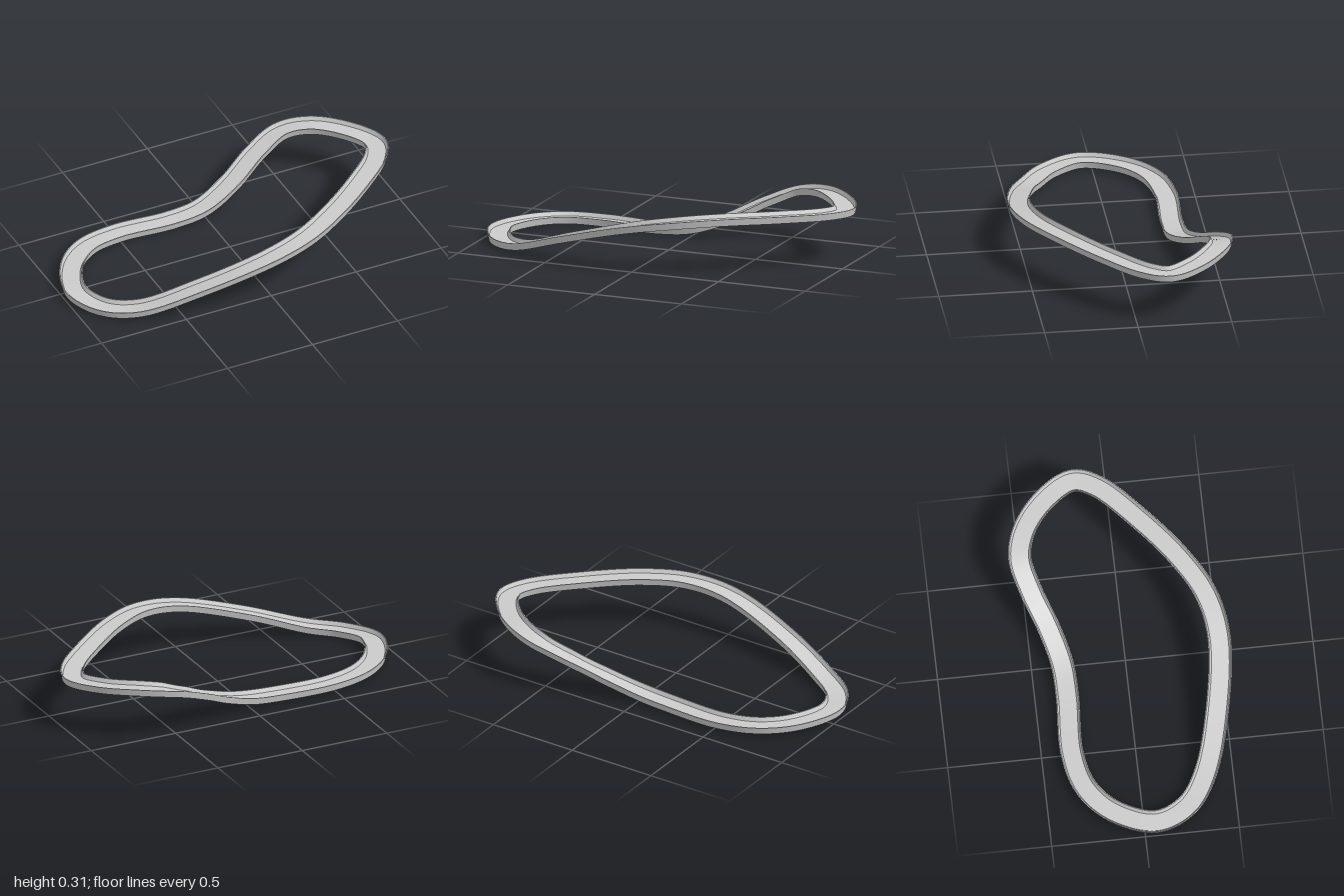
import * as THREE from 'three';

// Centre line of the loop at rim height: x, y, z
const PATH = [
  [-0.937, 0.056, 0.065], [-0.86, 0.046, 0.24], [-0.7, 0.06, 0.35], [-0.4, 0.155, 0.445],
  [-0.02, 0.26, 0.498], [0.22, 0.298, 0.455], [0.44, 0.31, 0.335], [0.7, 0.303, 0.13],
  [0.89, 0.295, -0.06], [0.935, 0.292, -0.18], [0.845, 0.298, -0.335], [0.69, 0.302, -0.46],
  [0.54, 0.28, -0.504], [0.375, 0.215, -0.465], [0.19, 0.125, -0.39], [0, 0.06, -0.337],
  [-0.18, 0.042, -0.328], [-0.505, 0.046, -0.338], [-0.71, 0.054, -0.285], [-0.855, 0.057, -0.155],
];

// Channel section, counter-clockwise: outward offset, height below rim
const SECTION = [
  [-0.054, -0.039], [0.054, -0.039], [0.0625, 0], [0.057, 0],
  [0.047, -0.022], [-0.047, -0.022], [-0.057, 0], [-0.0625, 0],
];

// Sweeps one edge of the section around the loop, keeping the section upright
function sweepEdge(frames, from, to) {
  const pos = [], index = [], n = frames.length;
  frames.forEach(({ p, out }, i) => {
    for (const [o, h] of [from, to]) pos.push(p.x + out.x * o, p.y + h, p.z + out.z * o);
    const a = 2 * i, b = 2 * ((i + 1) % n);
    index.push(a, b, a + 1, b, b + 1, a + 1);
  });
  const geo = new THREE.BufferGeometry();
  geo.setAttribute('position', new THREE.Float32BufferAttribute(pos, 3));
  geo.setIndex(index);
  geo.computeVertexNormals();
  return geo;
}

export function createModel() {
  const group = new THREE.Group();
  group.name = 'trackLoop';
  const material = new THREE.MeshStandardMaterial({ color: 0xcccccc });

  const curve = new THREE.CatmullRomCurve3(PATH.map((p) => new THREE.Vector3(...p)), true);
  const steps = 200;
  const frames = Array.from({ length: steps }, (_, i) => {
    const t = curve.getTangentAt(i / steps);
    return { p: curve.getPointAt(i / steps), out: new THREE.Vector3(-t.z, 0, t.x).normalize() };
  });

  // One smooth strip per section edge, so the corners stay sharp
  const names = ['underside', 'outerSide', 'outerRim', 'outerWall', 'trackFloor', 'innerWall', 'innerRim', 'innerSide'];
  names.forEach((name, i) => {
    const mesh = new THREE.Mesh(sweepEdge(frames, SECTION[i], SECTION[(i + 1) % SECTION.length]), material);
    mesh.name = name;
    group.add(mesh);
  });
  return group;
}
